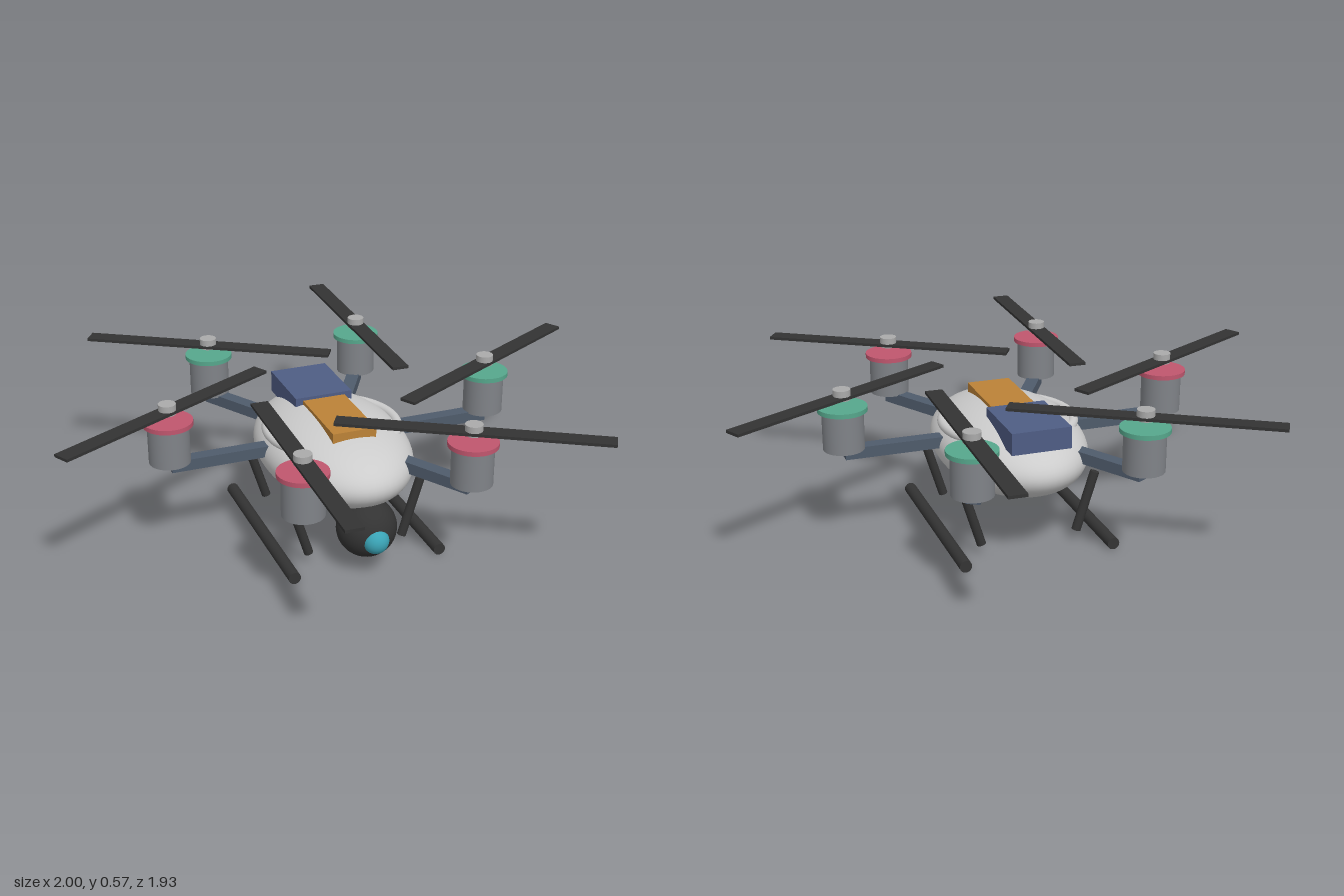
import * as THREE from 'three';

const mat = (color) => new THREE.MeshStandardMaterial({ color });
const M = {
  shell: mat(0xcccccc), arm: mat(0x4f5b6b), motor: mat(0x808388), dark: mat(0x333333),
  pink: mat(0xc0566e), green: mat(0x56a78c), hub: mat(0xaaaaaa),
  blue: mat(0x4f5d84), orange: mat(0xbb8237), lens: mat(0x3aa3b5),
};

function add(parent, name, geometry, material, x = 0, y = 0, z = 0) {
  const mesh = new THREE.Mesh(geometry, material);
  mesh.name = name;
  mesh.position.set(x, y, z);
  parent.add(mesh);
  return mesh;
}

const box = (w, h, d) => new THREE.BoxGeometry(w, h, d);
const cyl = (r, h, n = 32) => new THREE.CylinderGeometry(r, r, h, n);
const ball = (r) => new THREE.SphereGeometry(r, 40, 28);

// Arm, motor and propeller, built along +x
function rotorUnit(ringMaterial) {
  const unit = new THREE.Group();
  const reach = 0.587;
  add(unit, 'arm', box(0.41, 0.04, 0.048), M.arm, reach - 0.205, 0.344, 0);
  add(unit, 'motor', cyl(0.071, 0.137), M.motor, reach, 0.428, 0);
  add(unit, 'motorRing', cyl(0.085, 0.016), ringMaterial, reach, 0.504, 0);
  add(unit, 'propellerHub', cyl(0.03, 0.036, 24), M.hub, reach, 0.554, 0);
  add(unit, 'propeller', box(0.91, 0.01, 0.06), M.dark, reach, 0.545, 0).rotation.y = 0.5;
  return unit;
}

export function createModel() {
  const model = new THREE.Group();
  model.name = 'hexacopter';

  // Egg-shaped shell with a ring that breaks through its flanks
  add(model, 'bodyShell', new THREE.SphereGeometry(1, 56, 36).scale(0.26, 0.145, 0.4), M.shell, 0, 0.315, 0);
  add(model, 'flankRing', new THREE.TorusGeometry(0.229, 0.018, 16, 80).rotateX(Math.PI / 2), M.shell, 0, 0.392, 0);

  // Battery and top panel
  add(model, 'battery', box(0.21, 0.077, 0.265), M.blue, 0, 0.4375, -0.2125);
  add(model, 'topPanel', box(0.156, 0.045, 0.295), M.orange, 0, 0.4425, 0.065);

  // Six rotors: left and rear ones green, front and right ones pink
  const rings = [M.green, M.green, M.green, M.pink, M.pink, M.pink];
  rings.forEach((ring, i) => {
    const unit = rotorUnit(ring);
    unit.name = 'rotorUnit' + (i + 1);
    unit.rotation.y = (i * Math.PI) / 3;
    model.add(unit);
  });

  // Camera ball with lens
  add(model, 'cameraBall', ball(0.104), M.dark, 0, 0.157, 0.322);
  add(model, 'cameraLens', ball(0.046), M.lens, 0, 0.145, 0.403);

  // Landing gear
  for (const side of [1, -1]) {
    add(model, 'skid', cyl(0.0215, 0.69, 20).rotateX(Math.PI / 2), M.dark, side * 0.267, 0.0215, 0);
    for (const z of [0.227, -0.227]) {
      add(model, 'strut', cyl(0.0165, 0.222, 16), M.dark, side * 0.207, 0.144, z).rotation.z = -side * 0.3;
    }
  }
  return model;
}
